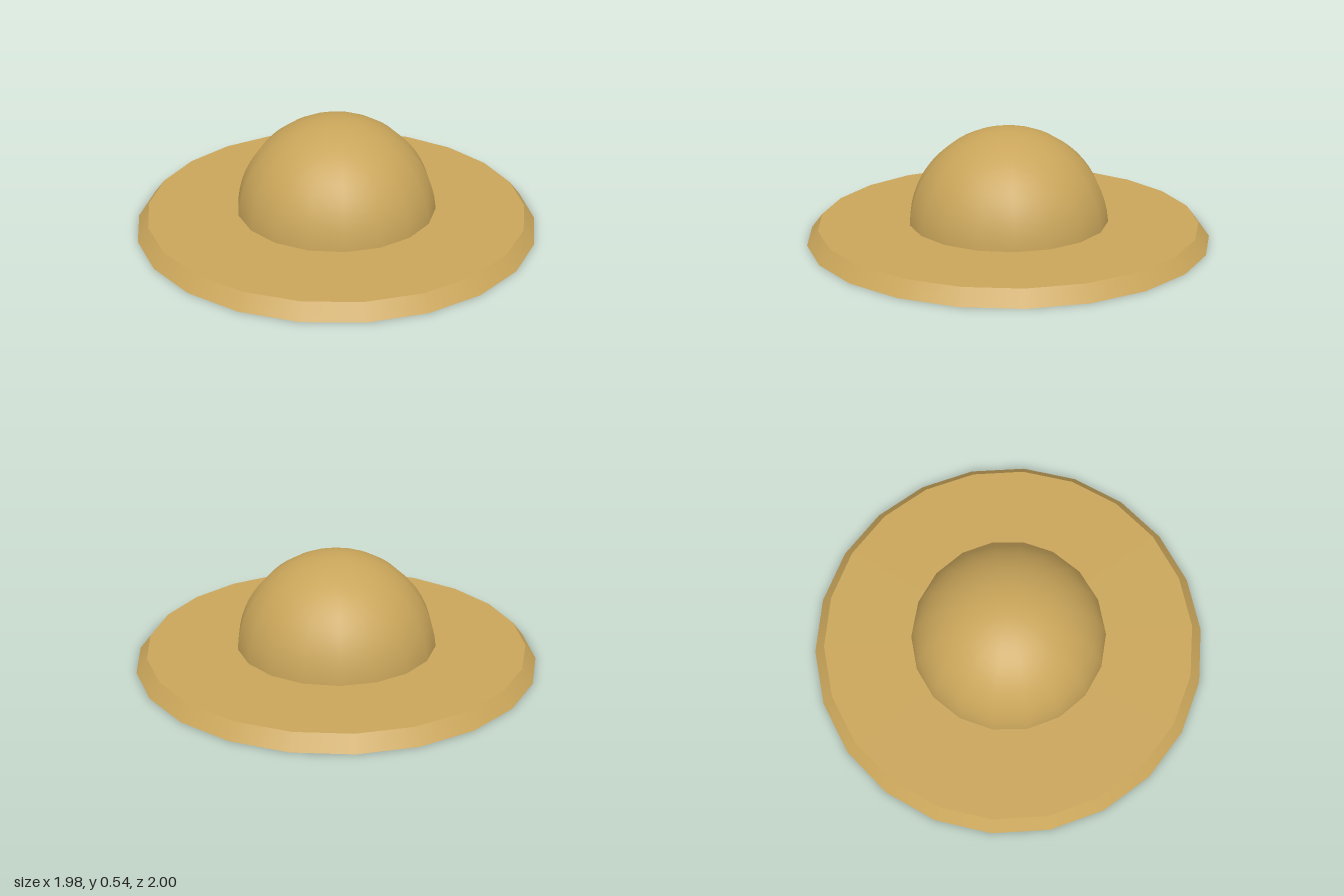
import * as THREE from 'three';

export function createModel() {
  const model = new THREE.Group();
  const straw = new THREE.MeshStandardMaterial({ color: 0xc9a55a });
  const brimHeight = 0.07;

  // Wide disc with a bevelled rim
  const brim = new THREE.Mesh(new THREE.CylinderGeometry(0.945, 1, brimHeight, 22), straw);
  brim.name = 'brim';
  brim.position.y = brimHeight / 2;

  // Half sphere rising from the middle of the brim
  const crown = new THREE.Mesh(
    new THREE.SphereGeometry(0.5, 18, 16, 0, Math.PI * 2, 0, Math.PI / 2), straw);
  crown.name = 'crown';
  crown.position.y = brimHeight / 2;

  model.add(brim, crown);
  return model;
}
